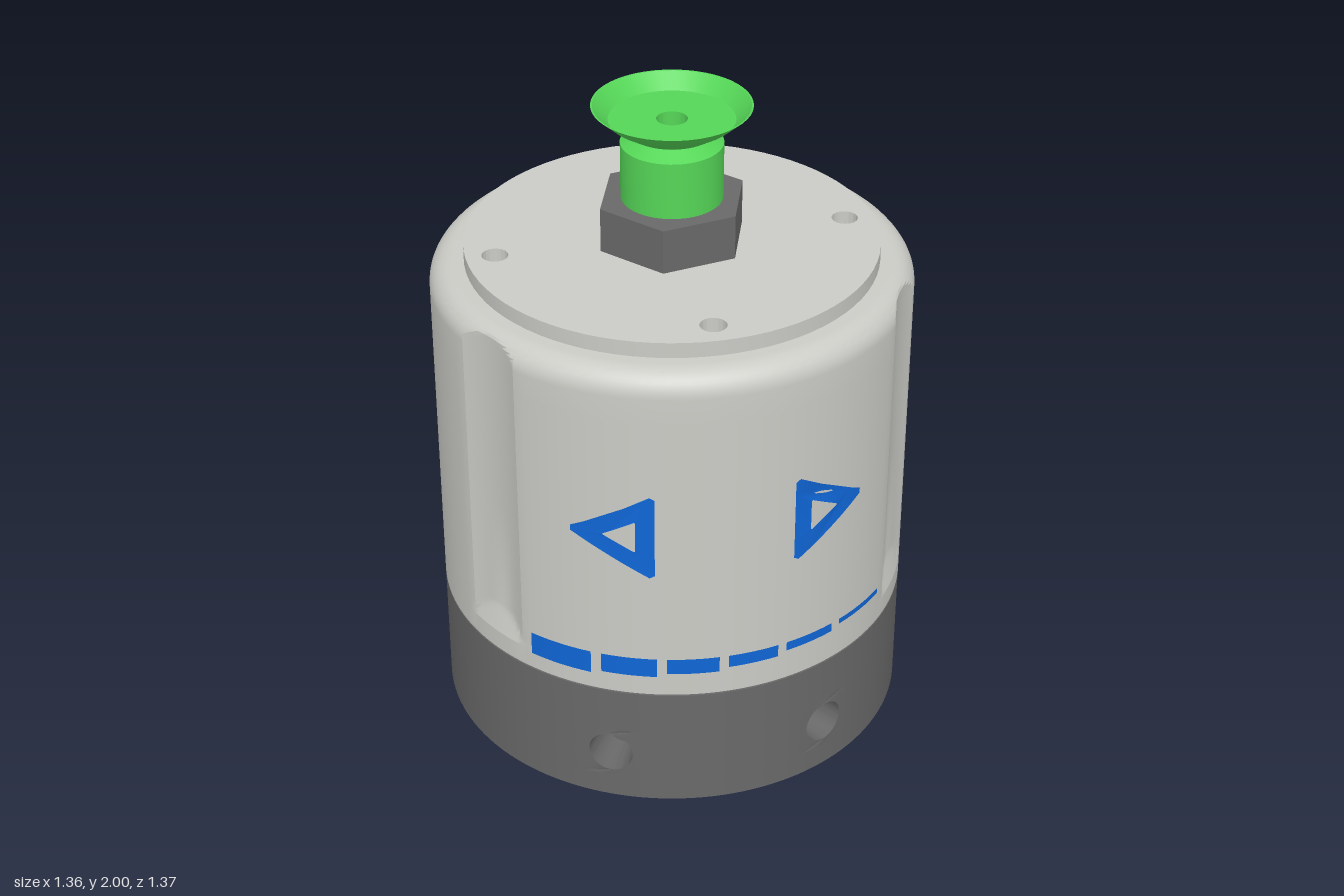
import * as THREE from 'three';
import { toCreasedNormals } from 'three/addons/utils/BufferGeometryUtils.js';

const R = 0.68;        // outer radius of body and base
const R_IN = 0.55;     // depth reached by slots and side bores
const rad = THREE.MathUtils.degToRad;

const mat = (name, color) => {
  const m = new THREE.MeshStandardMaterial({ color });
  m.name = name;
  return m;
};

export function createModel() {
  const group = new THREE.Group();
  const shell = mat('light grey', 0xcbcbc6);
  const dark = mat('dark grey', 0x696969);
  const green = mat('green', 0x55d657);
  const blue = mat('blue', 0x0f66d6);

  const add = (name, geo, material, crease = 0.35) => {
    const mesh = new THREE.Mesh(crease ? toCreasedNormals(geo, crease) : geo, material);
    mesh.name = name;
    group.add(mesh);
    return mesh;
  };
  // Plan outline (x, -z) extruded upwards between two heights
  const slab = (shape, y0, y1) =>
    new THREE.ExtrudeGeometry(shape, { depth: y1 - y0, bevelEnabled: false, curveSegments: 24 })
      .rotateX(-Math.PI / 2).translate(0, y0, 0);
  const circle = (x, y, r, cls = THREE.Path) => new cls().absarc(x, y, r, 0, Math.PI * 2, false);
  const polar = (deg, r) => new THREE.Vector2(Math.cos(rad(deg)) * r, Math.sin(rad(deg)) * r);

  // --- Body: round shell with rounded shoulder and three finger grooves ---
  const rows = [[0, 0.51], [R, 0.51]];
  for (let i = 0; i <= 6; i++) rows.push([R, 0.57 + i * 0.0135]);
  rows.push([R, 1.0], [R, 1.4]);
  for (let i = 0; i <= 10; i++) {
    const a = (i / 10) * Math.PI / 2;
    rows.push([R - 0.07 + 0.07 * Math.cos(a), 1.48 + 0.07 * Math.sin(a)]);
  }
  rows.push([0, 1.55]);
  const SEG = 240, cutR = 0.386, cutD = 1.041;
  const pos = [], idx = [];
  rows.forEach(([r0, y], j) => {
    for (let i = 0; i <= SEG; i++) {
      const a = (i / SEG) * Math.PI * 2;
      let r = r0;
      for (const g of [30, 150, 270]) {
        const d = a - rad(g), s = cutD * Math.sin(d);
        if (Math.cos(d) < 0.9 || y < 0.57) continue;
        const q = cutR * cutR - s * s;
        if (q <= 0) continue;
        const groove = cutD * Math.cos(d) - Math.sqrt(q);
        const ramp = R - (y - 0.57) * 0.31;
        r = Math.min(r, Math.max(groove, ramp));
      }
      pos.push(r * Math.cos(a), y, r * Math.sin(a));
      if (j < rows.length - 1 && i < SEG) {
        const p = j * (SEG + 1) + i, up = p + SEG + 1;
        idx.push(p, up, p + 1, p + 1, up, up + 1);
      }
    }
  });
  const body = new THREE.BufferGeometry();
  body.setAttribute('position', new THREE.Float32BufferAttribute(pos, 3));
  body.setIndex(idx);
  add('body', body, shell, 0.3);
  add('neck', new THREE.CylinderGeometry(0.3, 0.3, 0.03, 32).translate(0, 0.505, 0), dark);

  // --- Lid with four screw holes ---
  const lid = circle(0, 0, 0.582, THREE.Shape);
  for (let k = 0; k < 4; k++) {
    const p = polar(k * 90, 0.5);
    lid.holes.push(circle(p.x, p.y, 0.037));
  }
  add('lid', new THREE.ExtrudeGeometry(lid, { depth: 0.045, bevelEnabled: false, curveSegments: 40 })
    .rotateX(-Math.PI / 2).translate(0, 1.55, 0), shell);

  // --- Hexagonal nut with a through hole ---
  const hex = new THREE.Shape([0, 1, 2, 3, 4, 5].map(k => polar(11 + k * 60, 0.215)));
  hex.holes.push(circle(0, 0, 0.06));
  add('nut', slab(hex, 1.595, 1.725), dark);

  // --- Suction cup ---
  const cup = [
    [0.143, 1.72], [0.143, 1.89], [0.1, 1.913], [0.1, 1.92], [0.125, 1.926], [0.175, 1.958],
    [0.222, 2.0], [0.217, 2.0], [0.175, 1.958], [0.043, 1.958], [0.043, 1.595],
  ].map(p => new THREE.Vector2(...p));
  add('suctionCup', new THREE.LatheGeometry(cup, 48), green);

  // --- Base: stacked slabs with slots, bores and a recess at the back ---
  const slots = [[15, 25], [155, 165]];
  const bores = [[235, 250], [290, 305]];
  const baseShape = (recess, cuts, holes) => {
    const pts = [], step = 2.5;
    const from = recess ? 117.5 : 90, to = recess ? 422.5 : 450;
    let last = null;
    for (let a = from; a < to; a += step) {
      const mid = (a + step / 2) % 360;
      const r = cuts.some(([p, q]) => mid > p && mid < q) ? R_IN : R;
      if (r !== last) pts.push(polar(a, r));
      last = r;
      if (recess || a + step < to) pts.push(polar(a + step, r));
    }
    if (recess) {
      // rounded lobes either side of the recess
      const lobe = [];
      for (let i = 1; i <= 10; i++) {
        const p = polar(106.5 + 7.35 * i, 0.23);
        lobe.push([0.38 + p.x, 0.38 + p.y]);
      }
      lobe.push([0.15, 0.3]);
      lobe.forEach(([x, y]) => pts.push(new THREE.Vector2(x, y)));
      lobe.reverse().forEach(([x, y]) => pts.push(new THREE.Vector2(-x, y)));
    }
    const shape = new THREE.Shape(pts);
    if (holes) for (const a of [45, 135, 225, 315, 270]) {
      const p = polar(a, 0.54 - (a === 270 ? 0.01 : 0));
      shape.holes.push(circle(p.x, p.y, a === 270 ? 0.06 : 0.068));
    }
    return shape;
  };
  add('baseFoot', slab(baseShape(true, slots, true), 0.13, 0.2), dark);
  // bores and screw holes are kept apart by a solid middle slab
  add('baseMiddle', slab(baseShape(true, bores, true), 0.2, 0.29), dark);
  add('baseWeb', slab(baseShape(false, bores, false), 0.29, 0.31), dark);
  add('baseSlotted', slab(baseShape(false, [...slots, ...bores], false), 0.31, 0.37), dark);
  add('baseRim', slab(baseShape(false, [], false), 0.37, 0.505), dark);

  // Curved wall panels holding the two round side bores
  for (const side of [1, -1]) {
    const w = R * rad(7.5), pts = [];
    for (let i = 0; i <= 6; i++) pts.push(new THREE.Vector2(-w + (2 * w * i) / 6, 0.2));
    for (let i = 6; i >= 0; i--) pts.push(new THREE.Vector2(-w + (2 * w * i) / 6, 0.37));
    const panel = new THREE.Shape(pts);
    panel.holes.push(circle(0, 0.285, 0.064));
    const geo = new THREE.ExtrudeGeometry(panel, { depth: R - R_IN, bevelEnabled: false, curveSegments: 24 });
    const p = geo.attributes.position;
    for (let i = 0; i < p.count; i++) {
      const t = side * rad(27.5) + p.getX(i) / R, r = R_IN + p.getZ(i);
      p.setXYZ(i, r * Math.sin(t), p.getY(i), r * Math.cos(t));
    }
    add('sideBore', geo, dark);
  }

  // --- Mounting boss with a flat at the back ---
  const boss = new THREE.Shape();
  const flat = Math.asin(0.3 / 0.335);
  boss.absarc(0, 0, 0.335, Math.PI - flat, Math.PI * 2 + flat, false);
  const bossRing = boss.clone();
  bossRing.holes.push(circle(0, 0, 0.21));
  add('bossRing', slab(bossRing, 0, 0.008), dark);
  add('boss', slab(boss, 0.008, 0.14), dark);

  // --- Painted marks wrapped on the front of the body ---
  const wrap = geo => {
    const p = geo.attributes.position;
    for (let i = 0; i < p.count; i++) {
      const x = p.getX(i);
      p.setZ(i, Math.sqrt((R + 0.006) ** 2 - x * x));
    }
    geo.computeVertexNormals();
    return geo;
  };
  // Triangle outline with clipped corners and subdivided edges
  const triangle = (corners, clip) => {
    const pts = [];
    corners.forEach((c, k) => {
      const a = new THREE.Vector2(...c), b = new THREE.Vector2(...corners[(k + 1) % 3]);
      for (let i = 0; i <= 6; i++) pts.push(a.clone().lerp(b, clip + (1 - 2 * clip) * i / 6));
    });
    return pts;
  };
  for (const s of [1, -1]) {
    const flip = list => list.map(([x, y]) => [s * x, y]);
    const arrow = new THREE.Shape(triangle(flip([[0.42, 1.045], [0.195, 1.185], [0.195, 0.905]]), 0.06));
    arrow.holes.push(new THREE.Path(triangle(flip([[0.33, 1.045], [0.245, 1.095], [0.245, 0.995]]), 0.04)));
    add(s > 0 ? 'leftArrow' : 'rightArrow', wrap(new THREE.ShapeGeometry(arrow)), blue, 0);
  }
  // Tapering row of bars
  for (let i = 0; i < 6; i++) {
    const h = 0.072 - i * 0.011;
    const bar = new THREE.PlaneGeometry(0.146, h, 6, 1).translate(-0.435 + i * 0.172, 0.637 - h / 2, 0);
    add('levelBar', wrap(bar), blue, 0);
  }
  return group;
}
